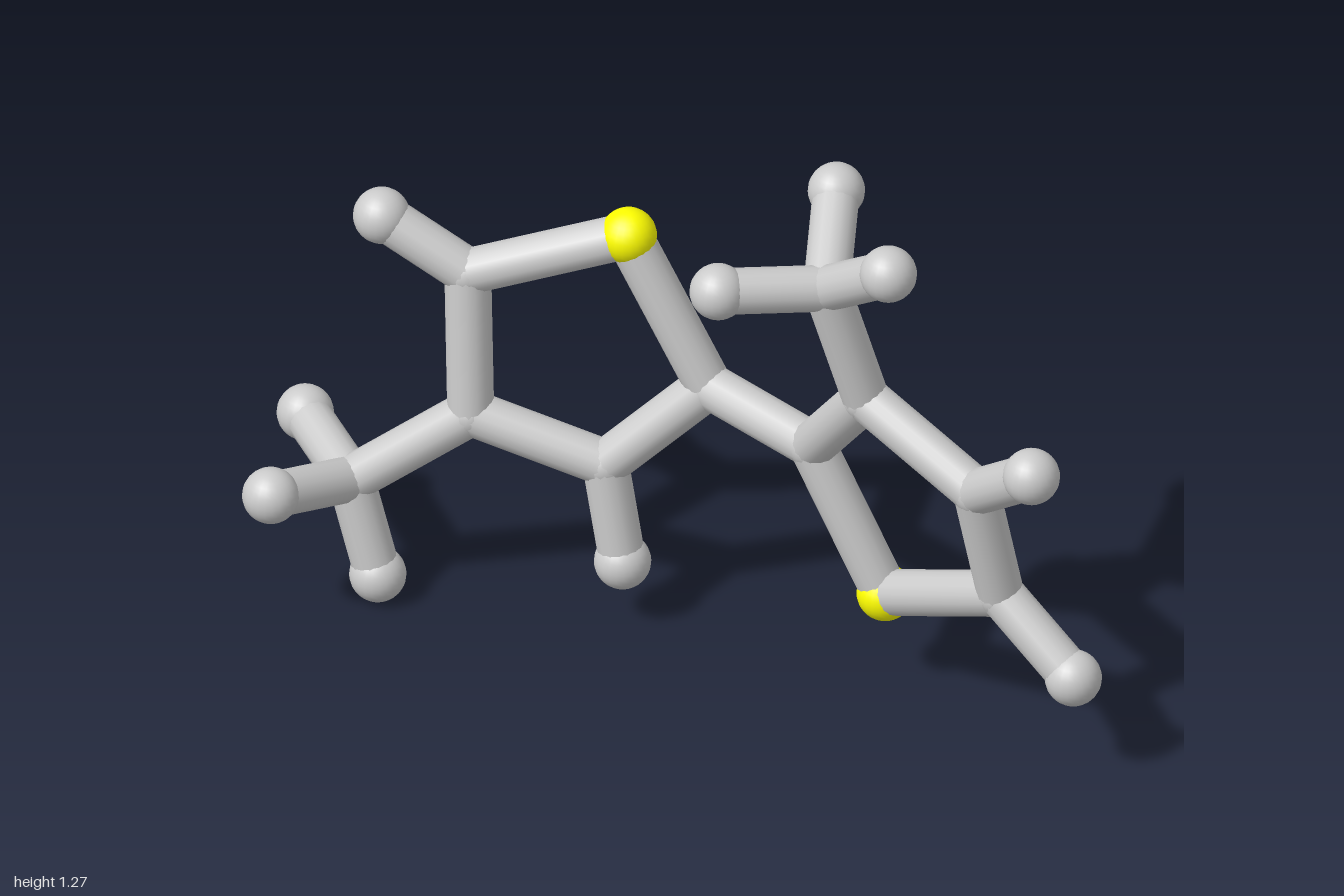
import * as THREE from 'three';

const BALL = 0.061, JOINT = 0.051, BOND = 0.05;

// Atom centres by kind: ring and methyl carbons, sulfurs, hydrogens
const carbons = {
  leftInner: [-0.03, 0.59, -0.24], leftLower: [-0.23, 0.385, -0.15],
  leftOuter: [-0.51, 0.475, -0.07], leftUpper: [-0.535, 0.805, -0.105],
  leftMethyl: [-0.75, 0.285, 0.018],
  rightInner: [0.255, 0.57, -0.165], rightUpper: [0.43, 0.795, -0.075],
  rightOuter: [0.72, 0.675, -0.025], rightLower: [0.75, 0.395, -0.078],
  rightMethyl: [0.365, 1.087, -0.02],
};
const sulfurs = {
  leftSulfur: [-0.21, 0.93, -0.217],
  rightSulfur: [0.42, 0.235, -0.183],
};
// Each carbon with the hydrogens it carries
const hydrogens = {
  leftUpper: [[-0.72, 0.915, -0.065]],
  leftLower: [[-0.185, 0.155, -0.142]],
  leftMethyl: [[-0.94, 0.305, -0.138], [-0.83, 0.345, 0.233], [-0.685, 0.065, 0.02]],
  rightOuter: [[0.89, 0.81, 0.05]],
  rightLower: [[0.937, 0.253, -0.052]],
  rightMethyl: [[0.545, 1.215, 0.043], [0.28, 1.187, -0.229], [0.185, 1.113, 0.132]],
};
// Closed five-membered rings
const rings = [
  ['leftSulfur', 'leftInner', 'leftLower', 'leftOuter', 'leftUpper'],
  ['rightSulfur', 'rightInner', 'rightUpper', 'rightOuter', 'rightLower'],
];
// Bonds outside the rings
const links = [
  ['leftInner', 'rightInner'], ['leftOuter', 'leftMethyl'], ['rightUpper', 'rightMethyl'],
];

export function createModel() {
  const model = new THREE.Group();
  const grey = new THREE.MeshStandardMaterial({ color: 0xcccccc });
  const yellow = new THREE.MeshStandardMaterial({ color: 0xffff00 });
  const heavy = { ...carbons, ...sulfurs };

  const addBall = (name, p, radius, material) => {
    const ball = new THREE.Mesh(new THREE.SphereGeometry(radius, 24, 16), material);
    ball.name = name;
    ball.position.set(...p);
    model.add(ball);
  };

  // Cylinder running between two atom centres
  const addBond = (name, p, q) => {
    const a = new THREE.Vector3(...p), b = new THREE.Vector3(...q);
    const dir = b.clone().sub(a);
    const bond = new THREE.Mesh(new THREE.CylinderGeometry(BOND, BOND, dir.length(), 16), grey);
    bond.name = name;
    bond.position.copy(a).add(b).multiplyScalar(0.5);
    bond.quaternion.setFromUnitVectors(new THREE.Vector3(0, 1, 0), dir.normalize());
    model.add(bond);
  };

  // Atoms
  for (const [name, p] of Object.entries(carbons)) addBall(name + 'Carbon', p, JOINT, grey);
  for (const [name, p] of Object.entries(sulfurs)) addBall(name, p, BALL, yellow);

  // Ring bonds and links
  for (const ring of rings) {
    ring.forEach((name, i) => addBond('ringBond', heavy[name], heavy[ring[(i + 1) % ring.length]]));
  }
  for (const [a, b] of links) addBond('linkBond', heavy[a], heavy[b]);

  // Hydrogens with their bonds
  for (const [name, list] of Object.entries(hydrogens)) {
    for (const p of list) {
      addBall('hydrogen', p, BALL, grey);
      addBond('hydrogenBond', heavy[name], p);
    }
  }
  return model;
}
